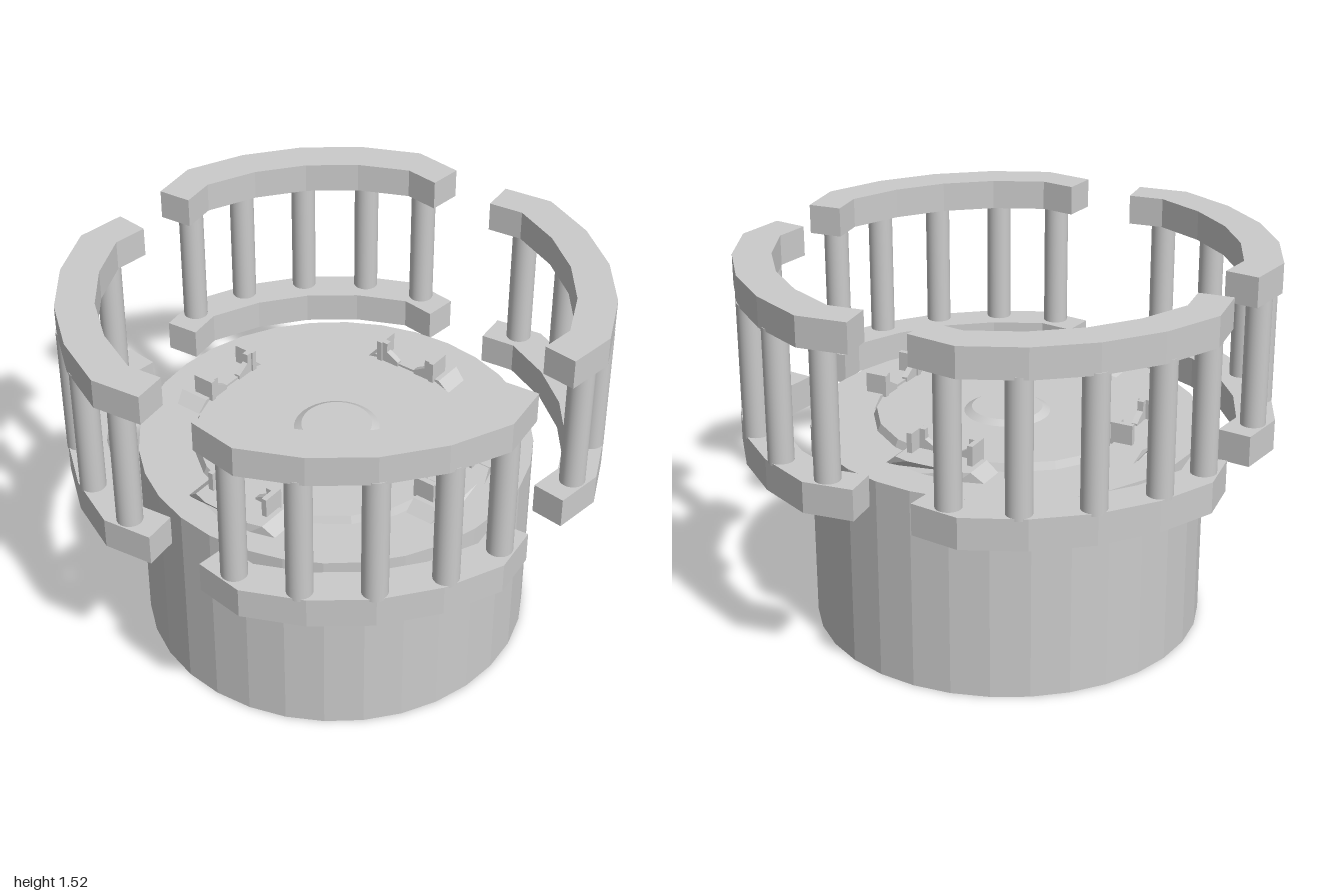
import * as THREE from 'three';

const flat = new THREE.MeshStandardMaterial({ color: 0xcccccc, flatShading: true });
const smooth = new THREE.MeshStandardMaterial({ color: 0xcccccc });

function add(parent, name, geometry, material, x = 0, y = 0, z = 0) {
  const mesh = new THREE.Mesh(geometry, material);
  mesh.name = name;
  mesh.position.set(x, y, z);
  parent.add(mesh);
  return mesh;
}

// Extrude a polygon of [x, y] points along z
function prism(points, depth) {
  const shape = new THREE.Shape(points.map(([x, y]) => new THREE.Vector2(x, y)));
  return new THREE.ExtrudeGeometry(shape, { depth, bevelEnabled: false });
}

// Faceted quarter rail, lying flat, with its ends cut short of the axes
function railGeometry(height) {
  const at = (r, deg) => [r * Math.sin(deg * Math.PI / 180), r * Math.cos(deg * Math.PI / 180)];
  const angles = [17.7, 31.35, 45, 58.65, 72.3];
  const outer = [[0.12, 0.975], ...angles.map(a => at(1.05, a)), [0.975, 0.12]];
  const inner = [[0.134, 0.84], ...angles.map(a => at(0.9, a)), [0.84, 0.134]];
  return prism([...outer, ...inner.reverse()], height).rotateX(-Math.PI / 2);
}

// One quarter of the balustrade: two rails and five round posts
function balustrade() {
  const group = new THREE.Group();
  group.name = 'balustrade';
  add(group, 'lowerRail', railGeometry(0.125), flat, 0, 0.755, 0);
  add(group, 'upperRail', railGeometry(0.12), flat, 0, 1.4, 0);
  const post = new THREE.CylinderGeometry(0.05, 0.05, 0.54, 24);
  [[0.25, 0.935], [0.495, 0.868], [0.71, 0.71], [0.868, 0.495], [0.935, 0.25]]
    .forEach(([x, z]) => add(group, 'railPost', post, smooth, x, 1.14, -z));
  return group;
}

// Low platform with sloping ends and a pair of mirrored brackets
function platform() {
  const group = new THREE.Group();
  group.name = 'platform';
  const block = prism([[-0.22, 0.81], [-0.1, 0.81], [0.1, 0.81], [0.22, 0.81],
    [0.16, 0.86], [0.1, 0.86], [-0.1, 0.86], [-0.16, 0.86]], 0.145);
  const p = block.attributes.position;
  for (let i = 0; i < p.count; i++) {
    // Pull the outer corners in to follow the round base
    if (p.getZ(i) > 0.1) p.setZ(i, 0.145 - 0.3 * Math.max(0, Math.abs(p.getX(i)) - 0.1));
  }
  block.computeVertexNormals();
  add(group, 'platformBlock', block, flat, 0, 0, 0.51);

  const plate = new THREE.BoxGeometry(0.022, 0.1, 0.09);
  for (const s of [-1, 1]) {
    add(group, 'bracketPlate', plate, flat, s * 0.129, 0.89, 0.54);
    // Upright lip stepping down to a ramp towards the middle
    const foot = [[0.12, 0.84], [0.12, 0.94], [0.094, 0.94], [0.094, 0.9],
      [0.04, 0.868], [0.04, 0.84]].map(([x, y]) => [s * x, y]);
    add(group, 'bracketFoot', prism(foot, 0.025), flat, 0, 0, 0.502);
  }
  return group;
}

export function createModel() {
  const model = new THREE.Group();
  model.name = 'roundTower';

  // Drum
  add(model, 'base', new THREE.CylinderGeometry(0.78, 0.78, 0.82, 32), flat, 0, 0.41, 0);

  // Raised floor, slightly off centre, with a shallow boss
  const deck = new THREE.Group();
  deck.name = 'deck';
  deck.position.set(-0.005, 0, 0.022);
  model.add(deck);
  const floor = new THREE.CylinderGeometry(0.535, 0.552, 0.04, 20).rotateY(Math.PI / 20);
  add(deck, 'floorDisc', floor, flat, 0, 0.83, 0);
  add(model, 'centreBoss', new THREE.CylinderGeometry(0.14, 0.183, 0.025, 32), smooth, 0, 0.855, -0.005);

  // Quarter-turn repeats
  for (let i = 0; i < 4; i++) {
    const rails = balustrade();
    rails.rotation.y = i * Math.PI / 2;
    model.add(rails);
    const step = platform();
    step.rotation.y = i * Math.PI / 2;
    deck.add(step);
  }
  return model;
}
